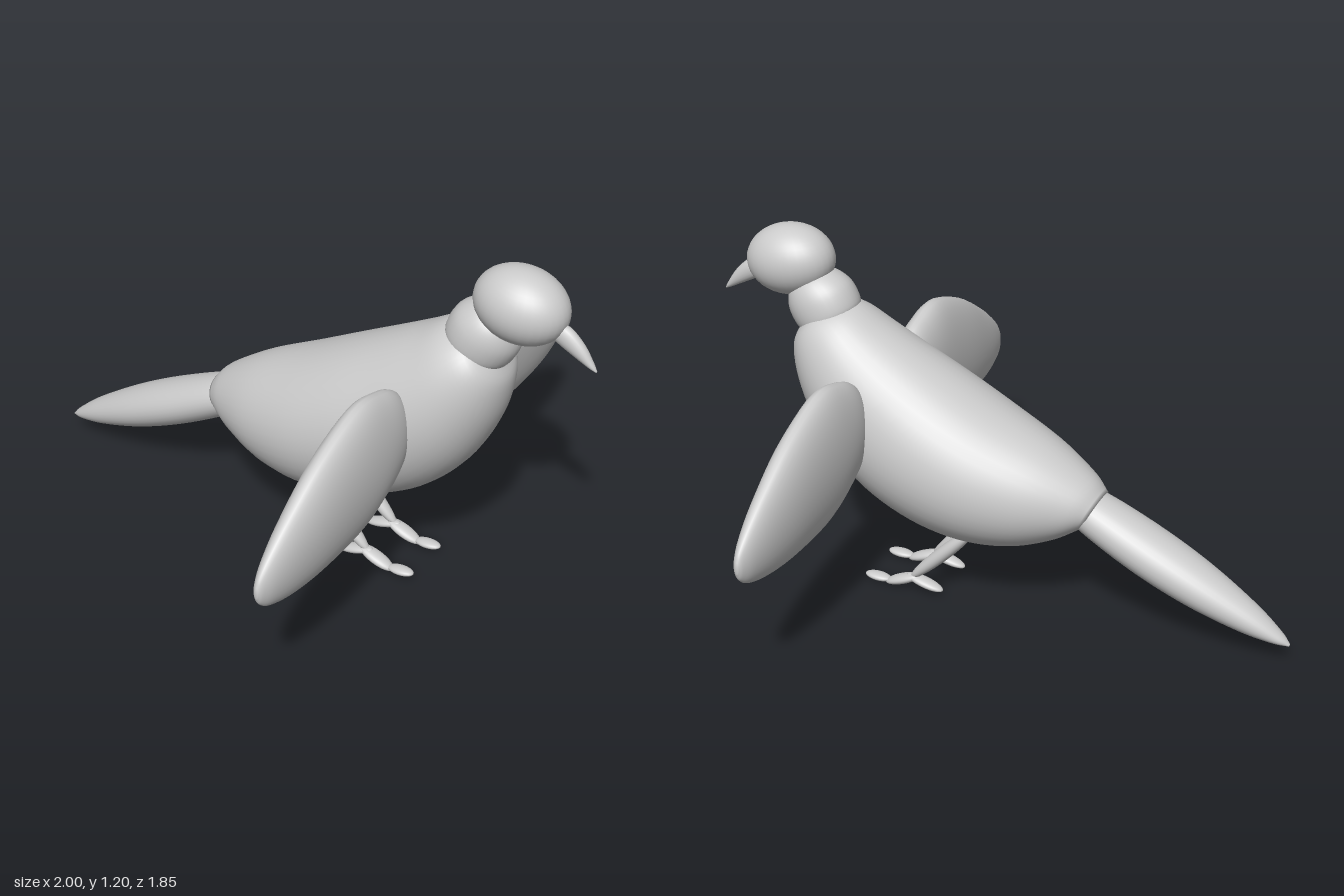
import * as THREE from 'three';

const material = new THREE.MeshStandardMaterial({ color: 0xcccccc, roughness: 0.8 });

// Smooth loft along +x. Each section: [topX, topY, bottomX, bottomY, halfWidth].
function loft(name, sections, steps = 36, sides = 32) {
  const curve = (f) => new THREE.CatmullRomCurve3(sections.map(f), false, 'catmullrom', 0.5);
  const top = curve((s) => new THREE.Vector3(s[0], s[1], s[4]));
  const bottom = curve((s) => new THREE.Vector3(s[2], s[3], 0));
  const positions = [];
  const index = [];
  const ring = (t, scale) => {
    const a = top.getPoint(t);
    const b = bottom.getPoint(t);
    const width = Math.max(a.z, 0) * scale;
    for (let j = 0; j < sides; j++) {
      const angle = (j / sides) * Math.PI * 2;
      const c = Math.cos(angle) * scale;
      positions.push(
        (a.x + b.x) / 2 + ((a.x - b.x) / 2) * c,
        (a.y + b.y) / 2 + ((a.y - b.y) / 2) * c,
        Math.sin(angle) * width
      );
    }
  };
  ring(0, 0); // closed ends
  for (let i = 0; i <= steps; i++) ring(i / steps, 1);
  ring(1, 0);
  for (let i = 0; i < steps + 2; i++) {
    for (let j = 0; j < sides; j++) {
      const k = (j + 1) % sides;
      const a = i * sides + j, b = i * sides + k;
      index.push(a, b, a + sides, b, b + sides, a + sides);
    }
  }
  const geometry = new THREE.BufferGeometry();
  geometry.setAttribute('position', new THREE.Float32BufferAttribute(positions, 3));
  geometry.setIndex(index);
  geometry.computeVertexNormals();
  const mesh = new THREE.Mesh(geometry, material);
  mesh.name = name;
  return mesh;
}

// Ellipsoid stretched between two points in the xy plane.
function bone(name, x1, y1, x2, y2, thick, wide) {
  const mesh = new THREE.Mesh(new THREE.SphereGeometry(1, 20, 14), material);
  mesh.name = name;
  mesh.scale.set(Math.hypot(x2 - x1, y2 - y1) / 2, thick, wide);
  mesh.position.set((x1 + x2) / 2, (y1 + y2) / 2, 0);
  mesh.rotation.z = Math.atan2(y2 - y1, x2 - x1);
  return mesh;
}

export function createModel() {
  const bird = new THREE.Group();
  bird.name = 'bird';

  bird.add(loft('body', [
    [-0.36, 0.46, -0.305, 0.345, 0.085],
    [-0.31, 0.515, -0.2, 0.28, 0.135],
    [-0.18, 0.60, -0.06, 0.233, 0.2],
    [0, 0.69, 0.1, 0.225, 0.245],
    [0.16, 0.775, 0.28, 0.262, 0.255],
    [0.30, 0.85, 0.46, 0.35, 0.238],
    [0.41, 0.91, 0.60, 0.49, 0.21],
    [0.50, 0.96, 0.69, 0.66, 0.17],
    [0.57, 0.97, 0.72, 0.80, 0.125],
    [0.62, 0.96, 0.70, 0.88, 0.06],
  ], 48, 40));

  bird.add(loft('tail', [
    [-1, 0.072, -0.998, 0.065, 0.006],
    [-0.97, 0.105, -0.94, 0.07, 0.03],
    [-0.88, 0.178, -0.83, 0.093, 0.06],
    [-0.72, 0.28, -0.66, 0.15, 0.09],
    [-0.55, 0.37, -0.48, 0.23, 0.1],
    [-0.36, 0.455, -0.30, 0.33, 0.088],
    [-0.28, 0.47, -0.24, 0.38, 0.06],
  ]));

  bird.add(loft('neck', [
    [0.53, 0.94, 0.67, 0.87, 0.08],
    [0.508, 0.965, 0.705, 0.865, 0.105],
    [0.54, 1.03, 0.74, 0.92, 0.106],
    [0.60, 1.065, 0.745, 0.975, 0.085],
    [0.66, 1.07, 0.73, 1.03, 0.04],
  ], 24));

  const head = new THREE.Mesh(new THREE.SphereGeometry(1, 32, 24), material);
  head.name = 'head';
  head.scale.set(0.152, 0.118, 0.118);
  head.position.set(0.744, 1.087, 0);
  head.rotation.z = -0.12;
  bird.add(head);

  bird.add(loft('beak', [
    [0.85, 1.06, 0.84, 1.02, 0.015],
    [0.90, 1.06, 0.87, 1.00, 0.024],
    [0.95, 1.018, 0.93, 0.97, 0.021],
    [0.985, 0.968, 0.975, 0.948, 0.012],
    [1, 0.942, 0.997, 0.939, 0.003],
  ], 20, 20));

  // Wings are lofted along x, then turned outward to either side.
  const wingSections = [
    [0.16, 0.73, 0.16, 0.55, 0.035],
    [0.20, 0.785, 0.20, 0.49, 0.06],
    [0.28, 0.822, 0.29, 0.435, 0.073],
    [0.41, 0.84, 0.42, 0.385, 0.075],
    [0.60, 0.77, 0.62, 0.375, 0.068],
    [0.76, 0.67, 0.77, 0.388, 0.052],
    [0.86, 0.592, 0.87, 0.415, 0.034],
    [0.91, 0.54, 0.912, 0.445, 0.018],
    [0.927, 0.505, 0.927, 0.475, 0.006],
  ];
  for (const side of [1, -1]) {
    const wing = loft('wing', wingSections);
    wing.rotation.y = (-side * Math.PI) / 2;
    wing.position.x = 0.433;
    bird.add(wing);

    // Leg with one back toe and a two-jointed front toe
    const leg = new THREE.Group();
    leg.name = 'leg';
    leg.add(
      bone('shin', 0.05, 0.285, 0.292, 0.045, 0.024, 0.028),
      bone('backToe', 0.172, 0.022, 0.305, 0.058, 0.015, 0.026),
      bone('frontToe', 0.255, 0.06, 0.385, 0.01, 0.017, 0.028),
      bone('frontToeTip', 0.365, 0.02, 0.46, 0.025, 0.013, 0.024)
    );
    leg.position.z = side * 0.086;
    bird.add(leg);
  }
  return bird;
}
